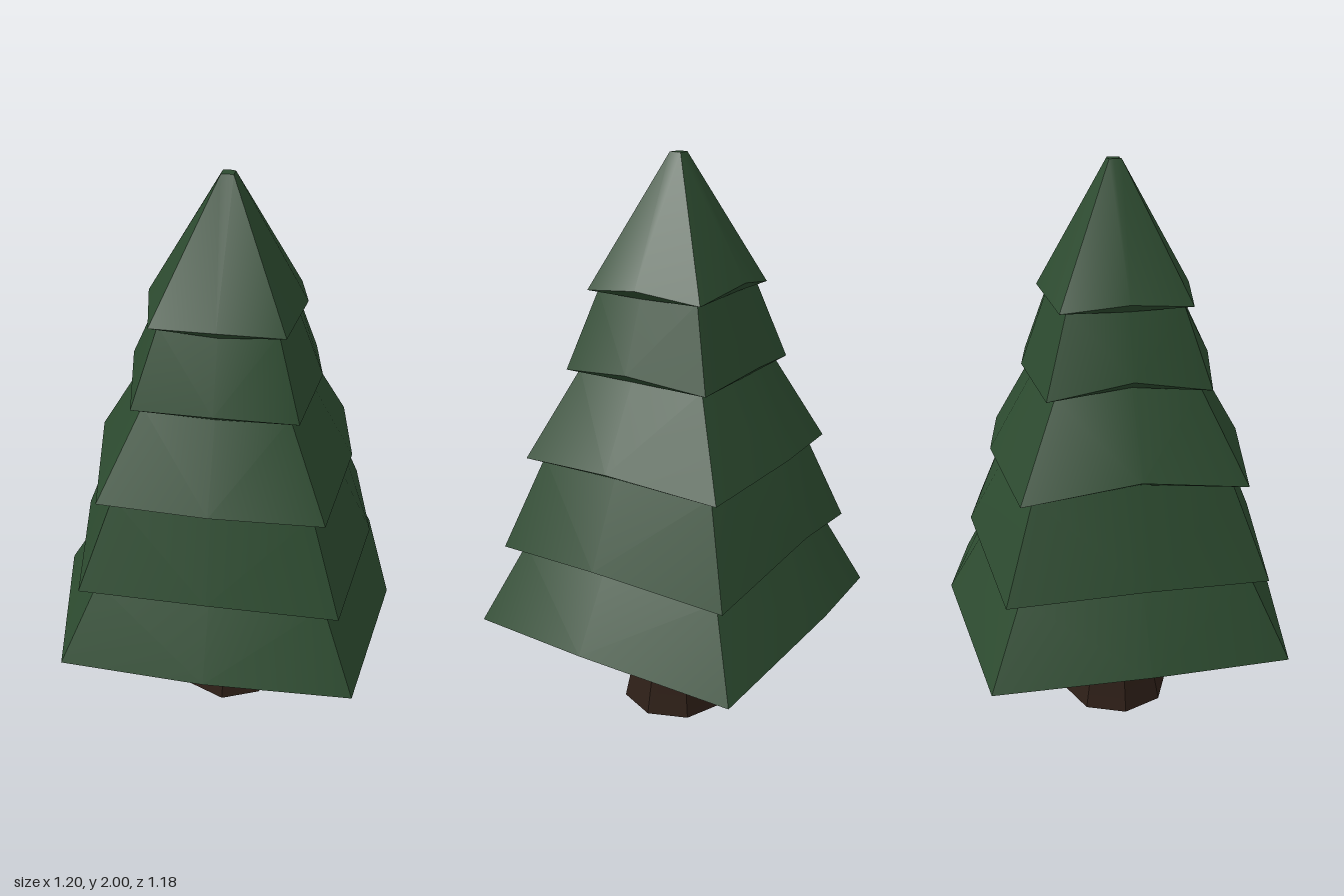
import * as THREE from 'three';
import { toCreasedNormals } from 'three/addons/utils/BufferGeometryUtils.js';

// Eight points, four side middles and four corners, running +x, +z, -x, -z
function ring({ mid, midY, corner, cornerY }, scale = 1, drop = 0) {
  const points = [];
  for (let i = 0; i < 4; i++) {
    const a = i * Math.PI / 2, c = Math.cos(a), s = Math.sin(a);
    const r = mid[i] * scale, k = corner * scale;
    const shift = 0.02 * mid[i];
    points.push(new THREE.Vector3(c * r + Math.abs(s) * shift, midY[i] - drop, s * r + Math.abs(c) * shift));
    points.push(new THREE.Vector3((c - s) * k, cornerY, (c + s) * k + 0.006));
  }
  return points;
}

const point = (x, y, z) => Array.from({ length: 8 }, () => new THREE.Vector3(x, y, z));

// Joins rings from bottom to top, leaving out collapsed triangles
function skin(rings) {
  const pos = [];
  const tri = (a, b, c) => {
    if (a.distanceTo(b) < 1e-6 || b.distanceTo(c) < 1e-6 || a.distanceTo(c) < 1e-6) return;
    for (const p of [a, b, c]) pos.push(p.x, p.y, p.z);
  };
  for (let r = 0; r < rings.length - 1; r++) {
    const lo = rings[r], hi = rings[r + 1];
    for (let i = 0; i < 8; i++) {
      const j = (i + 1) % 8;
      if (i % 2) { // mirror the diagonal on each side of a corner
        tri(lo[i], hi[i], lo[j]);
        tri(lo[j], hi[i], hi[j]);
      } else {
        tri(lo[i], hi[i], hi[j]);
        tri(lo[i], hi[j], lo[j]);
      }
    }
  }
  const g = new THREE.BufferGeometry();
  g.setAttribute('position', new THREE.Float32BufferAttribute(pos, 3));
  return toCreasedNormals(g, 0.6);
}

export function createModel() {
  const group = new THREE.Group();
  group.name = 'pineTree';
  const green = new THREE.MeshStandardMaterial({ color: 0x2c4a2f });
  const brown = new THREE.MeshStandardMaterial({ color: 0x2e1f17 });

  // Lower rim of each foliage tier
  const tiers = [
    { mid: [0.595, 0.59, 0.60, 0.59], midY: [0.46, 0.455, 0.46, 0.51], corner: 0.505, cornerY: 0.395 },
    { mid: [0.512, 0.51, 0.515, 0.505], midY: [0.73, 0.73, 0.73, 0.78], corner: 0.44, cornerY: 0.675 },
    { mid: [0.43, 0.45, 0.44, 0.425], midY: [1.04, 1.04, 1.08, 1.04], corner: 0.375, cornerY: 1.0 },
    { mid: [0.315, 0.335, 0.32, 0.308], midY: [1.34, 1.34, 1.37, 1.34], corner: 0.27, cornerY: 1.305 },
    { mid: [0.257, 0.26, 0.26, 0.25], midY: [1.6, 1.59, 1.6, 1.61], corner: 0.215, cornerY: 1.57 },
  ];

  // Foliage: closed underside, stepped tiers and a small square tip
  const rings = [point(0, 0.41, 0)];
  tiers.forEach((t, i) => {
    if (i > 0) rings.push(ring(t, 0.88, 0.03));
    rings.push(ring(t));
  });
  rings.push(ring({ mid: [0.02, 0.02, 0.02, 0.02], midY: [2, 2, 2, 2], corner: 0.02, cornerY: 2 }));
  rings.push(point(0, 2, 0.006));
  const foliage = new THREE.Mesh(skin(rings), green);
  foliage.name = 'foliage';
  group.add(foliage);

  // Trunk: flared octagon with a straight neck
  const section = (r, y, z) => Array.from({ length: 8 }, (_, i) => {
    const a = i * Math.PI / 4;
    return new THREE.Vector3(0.01 + r * Math.cos(a), y, z + r * 1.03 * Math.sin(a));
  });
  const trunk = new THREE.Mesh(skin([
    point(0.01, 0, 0.015),
    section(0.19, 0, 0.015),
    section(0.115, 0.35, 0.015),
    section(0.11, 0.43, 0.015),
    point(0.01, 0.43, 0.015),
  ]), brown);
  trunk.name = 'trunk';
  group.add(trunk);
  return group;
}
